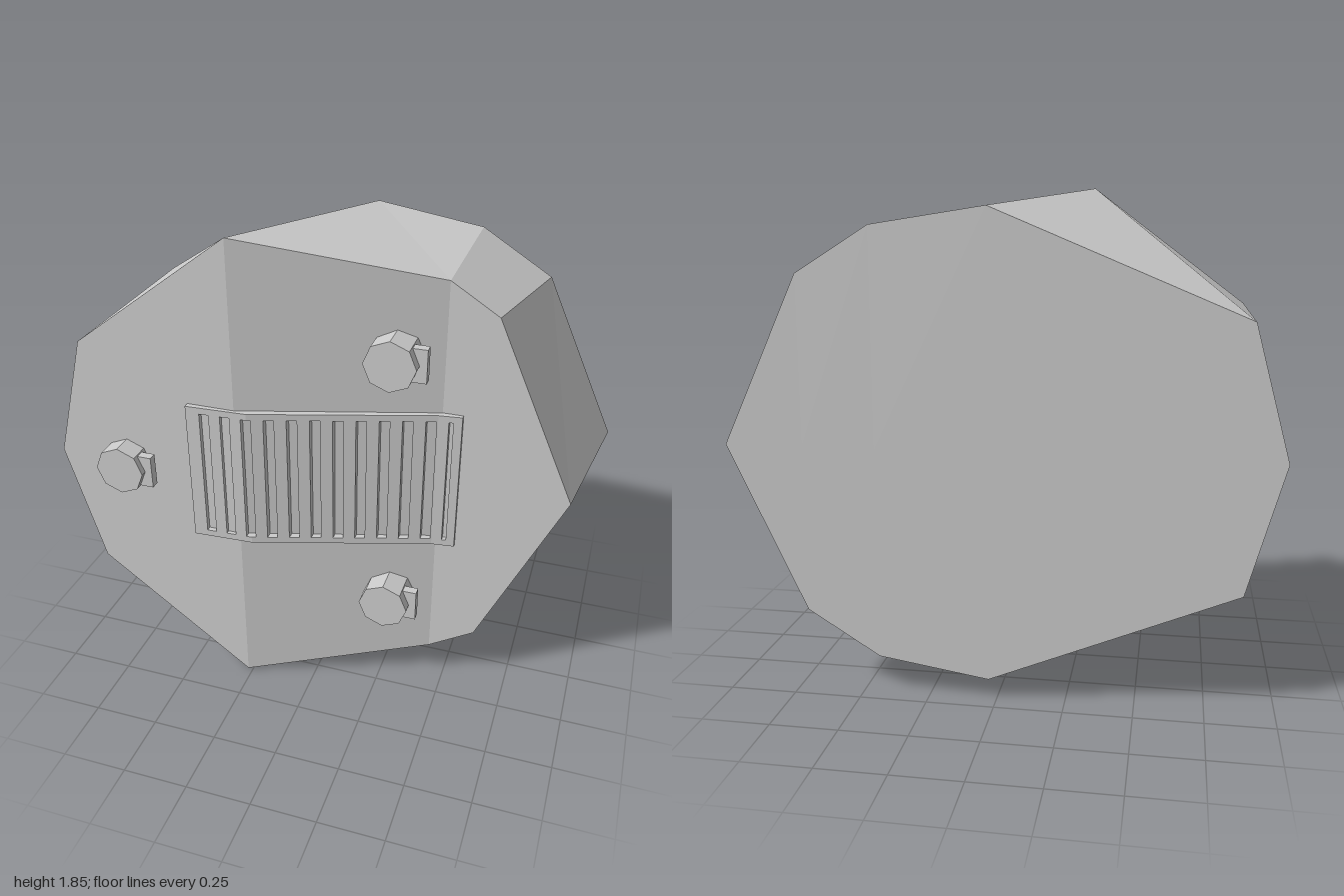
import * as THREE from 'three';

const MID = 0.925; // height of the mirror plane

const material = () => new THREE.MeshStandardMaterial({ color: 0xcccccc, flatShading: true });

// Upper half of the faceted body, point by point from -x to +x: [x, y, z]
const FRONT = [[-1, MID, 0.355], [-0.87, 1.4, 0.355], [-0.27, 1.85, 0.355],
  [0.44, 1.71, 0.14], [0.615, 1.6, 0.14], [0.92, MID, 0.14]];
const BACK = [[-1, MID, -0.435], [-0.87, 1.4, -0.435], [0.03, 1.775, -0.435],
  [0.44, 1.712, -0.435], [0.71, 1.545, -0.435], [1, MID, -0.435]];

function bodyGeometry() {
  const pos = [];
  const flip = ([x, y, z]) => [x, 2 * MID - y, z];
  const center = ([x, , z]) => [x, MID, z];
  const same = (a, b) => a.every((v, i) => v === b[i]);
  // adds a triangle and its mirrored twin
  const tri = (a, b, c) => {
    if (same(a, b) || same(b, c) || same(a, c)) return;
    pos.push(...a, ...b, ...c, ...flip(a), ...flip(c), ...flip(b));
  };
  for (let k = 0; k < FRONT.length - 1; k++) {
    const [f0, f1, b0, b1] = [FRONT[k], FRONT[k + 1], BACK[k], BACK[k + 1]];
    // rim
    tri(b0, f0, f1);
    tri(b0, f1, b1);
    // front face
    tri(f0, center(f0), center(f1));
    tri(f0, center(f1), f1);
    // back face
    tri(b0, center(b1), center(b0));
    tri(b0, b1, center(b1));
  }
  const geo = new THREE.BufferGeometry();
  geo.setAttribute('position', new THREE.Float32BufferAttribute(pos, 3));
  geo.computeVertexNormals();
  return geo;
}

// Front surface of the bent grille, [x, z]
const GRILLE = [[-0.45, 0.377], [-0.22, 0.367], [0.43, 0.165], [0.515, 0.155]];

function grilleZ(x) {
  for (let i = 0; i < GRILLE.length - 1; i++) {
    const [[x0, z0], [x1, z1]] = [GRILLE[i], GRILLE[i + 1]];
    if (x <= x1) return z0 + (z1 - z0) * (x - x0) / (x1 - x0);
  }
  return GRILLE[GRILLE.length - 1][1];
}

// A piece of the grille sheet between two x and two y values
function grillePiece(name, x0, x1, y0, y1) {
  const xs = [x0, ...GRILLE.map(p => p[0]).filter(x => x > x0 && x < x1), x1];
  const outline = [
    ...xs.map(x => new THREE.Vector2(x, -grilleZ(x))),
    ...xs.reverse().map(x => new THREE.Vector2(x, -grilleZ(x) + 0.04)),
  ];
  const geo = new THREE.ExtrudeGeometry(new THREE.Shape(outline), { depth: y1 - y0, bevelEnabled: false });
  geo.rotateX(-Math.PI / 2); // extrusion runs up, shape y becomes -z
  geo.translate(0, y0, 0);
  const mesh = new THREE.Mesh(geo, material());
  mesh.name = name;
  return mesh;
}

function createGrille() {
  const grille = new THREE.Group();
  grille.name = 'grille';
  const [left, right, bottom, top, rail] = [-0.45, 0.515, 0.66, 1.215, 0.025];
  grille.add(grillePiece('bottomRail', left, right, bottom, bottom + rail));
  grille.add(grillePiece('topRail', left, right, top - rail, top));
  // bars fill the space between twelve slots
  let start = left;
  for (let i = 0; i < 12; i++) {
    const slot = -0.398 + i * 0.0787;
    grille.add(grillePiece('bar', start, slot, bottom + rail, top - rail));
    start = slot + (i < 11 ? 0.036 : 0.016);
  }
  grille.add(grillePiece('bar', start, right, bottom + rail, top - rail));
  return grille;
}

// Eight-sided knob with a small tab on its +x side
function createKnob(x, y, zBack, zFront, tabZ) {
  const knob = new THREE.Group();
  knob.name = 'knob';
  const geo = new THREE.CylinderGeometry(0.095, 0.095, zFront - zBack, 8);
  geo.rotateX(Math.PI / 2);
  const barrel = new THREE.Mesh(geo, material());
  barrel.name = 'knobBarrel';
  barrel.position.set(x, y, (zBack + zFront) / 2);
  const tab = new THREE.Mesh(new THREE.BoxGeometry(0.07, 0.126, 0.034), material());
  tab.name = 'knobTab';
  tab.position.set(x + 0.087, y, tabZ);
  knob.add(barrel, tab);
  return knob;
}

export function createModel() {
  const model = new THREE.Group();
  model.name = 'facetedPod';
  const body = new THREE.Mesh(bodyGeometry(), material());
  body.name = 'body';
  model.add(body, createGrille());
  model.add(createKnob(-0.715, MID, 0.33, 0.435, 0.394));
  for (const side of [-1, 1]) {
    model.add(createKnob(0.278, MID + side * 0.512, 0.15, 0.288, 0.232));
  }
  return model;
}
